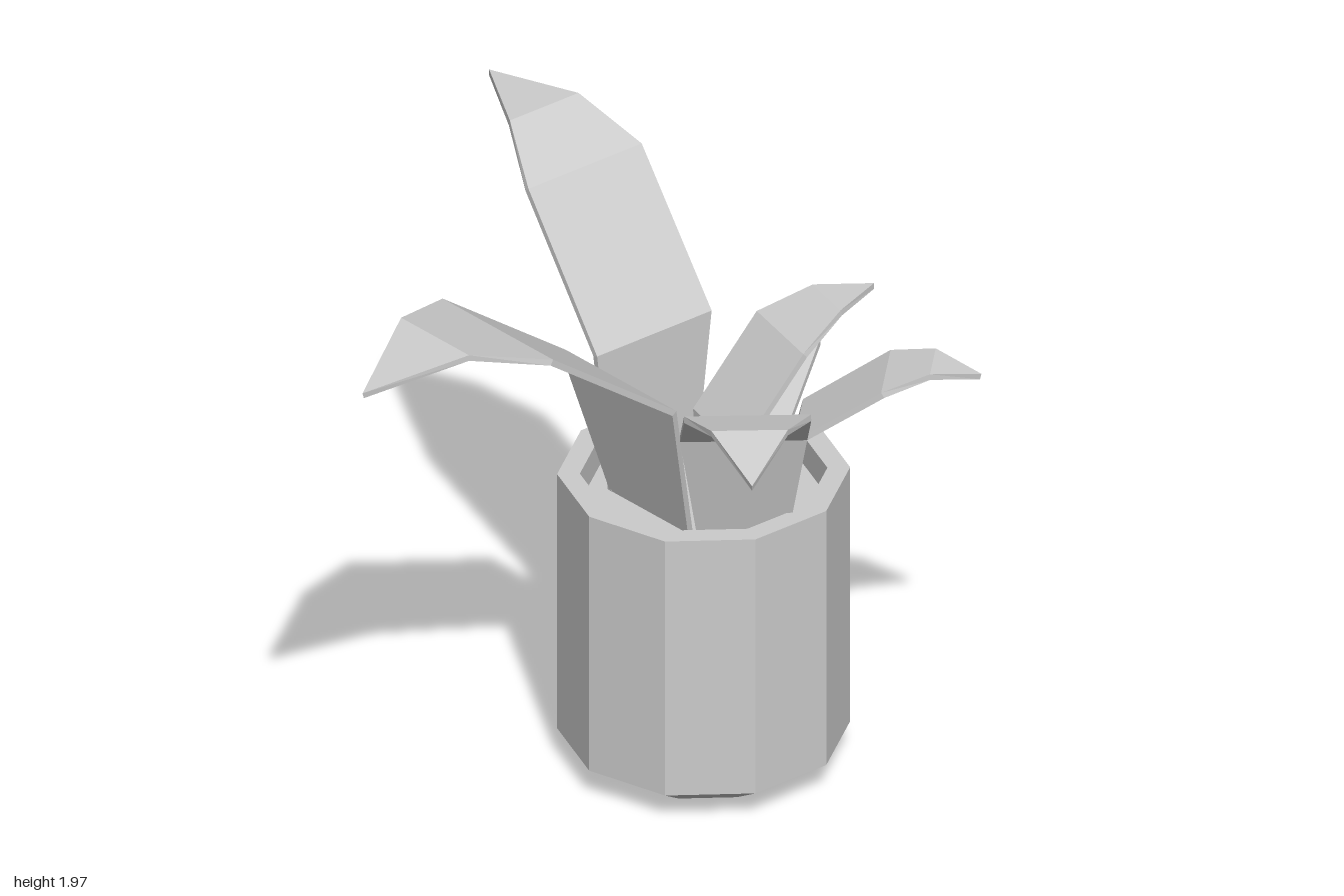
import * as THREE from 'three';

const material = new THREE.MeshStandardMaterial({ color: 0xcccccc, flatShading: true });
const THICKNESS = 0.02;

// Thin bent blade. Each station is [distance outward, height, width]; the last is the tip.
function leafGeometry(stations) {
  const positions = [];
  const index = [];
  const last = stations.length - 1;
  stations.forEach(([d, y, w], i) => {
    const before = stations[Math.max(i - 1, 0)];
    const after = stations[Math.min(i + 1, last)];
    const tangent = new THREE.Vector2(after[0] - before[0], after[1] - before[1]).normalize();
    // underside is offset square to the blade
    const lowD = d + tangent.y * THICKNESS;
    const lowY = y - tangent.x * THICKNESS;
    const h = w / 2;
    positions.push(h, y, d, -h, y, d, -h, lowY, lowD, h, lowY, lowD);
    if (i === last) return;
    for (let k = 0; k < 4; k++) {
      const a = i * 4 + k;
      const b = i * 4 + (k + 1) % 4;
      index.push(a, b, b + 4, a, b + 4, a + 4);
    }
  });
  index.push(0, 3, 2, 0, 2, 1); // base cap
  const geometry = new THREE.BufferGeometry();
  geometry.setAttribute('position', new THREE.Float32BufferAttribute(positions, 3));
  geometry.setIndex(index);
  const flat = geometry.toNonIndexed();
  flat.computeVertexNormals();
  return flat;
}

// Leaves: root position, outward direction (x, z) and blade stations
const leaves = [
  { name: 'rightLeaf', root: [-0.19, -0.355], dir: [-1, 0],
    stations: [[0, 0.88, 0.33], [0, 1.4, 0.45], [0.34, 1.84, 0.445], [0.54, 1.96, 0.27], [0.81, 1.97, 0]] },
  { name: 'frontLeaf', root: [-0.025, -0.225], dir: [0.06, 1],
    stations: [[0, 0.88, 0.35], [0.14, 1.41, 0.505], [0.65, 1.79, 0.505], [0.91, 1.865, 0.31], [1.21, 1.78, 0]] },
  { name: 'leftLeaf', root: [0.26, -0.34], dir: [0.8, 0.6],
    stations: [[0, 0.88, 0.27], [0.107, 1.31, 0.39], [0.495, 1.605, 0.39], [0.69, 1.665, 0.235], [0.92, 1.6, 0]] },
  { name: 'backLeftLeaf', root: [0.157, -0.547], dir: [1, -1],
    stations: [[0, 0.88, 0.19], [0.075, 1.185, 0.26], [0.345, 1.375, 0.265], [0.49, 1.42, 0.16], [0.64, 1.385, 0]] },
  { name: 'backLeaf', root: [0.107, -0.36], dir: [0.18, -0.985],
    stations: [[0, 0.86, 0.21], [0, 1.19, 0.3], [0.222, 1.475, 0.3], [0.385, 1.555, 0.18], [0.55, 1.56, 0]] },
  { name: 'backRightLeaf', root: [0.096, -0.5], dir: [-0.42, -0.9],
    stations: [[0, 0.88, 0.14], [0.06, 1.15, 0.205], [0.27, 1.33, 0.205], [0.37, 1.37, 0.125], [0.49, 1.36, 0]] },
];

export function createModel() {
  const model = new THREE.Group();
  model.name = 'pottedPlant';

  // Ten-sided pot with a chamfered foot and a hollow rim
  const pot = new THREE.Mesh(
    new THREE.LatheGeometry(
      [[0, 0], [0.29, 0], [0.45, 0.1], [0.45, 1], [0.38, 1], [0.38, 0.9]].map(([r, y]) => new THREE.Vector2(r, y)), 10),
    material);
  pot.name = 'pot';
  pot.position.set(0.02, 0, -0.38);
  model.add(pot);

  // Soil inside the rim
  const soil = new THREE.Mesh(
    new THREE.LatheGeometry([new THREE.Vector2(0.38, 0.9), new THREE.Vector2(0, 0.9)], 10), material);
  soil.name = 'soil';
  soil.position.copy(pot.position);
  model.add(soil);

  for (const { name, root, dir, stations } of leaves) {
    const leaf = new THREE.Mesh(leafGeometry(stations), material);
    leaf.name = name;
    leaf.position.set(root[0], 0, root[1]);
    leaf.rotation.y = Math.atan2(dir[0], dir[1]);
    model.add(leaf);
  }
  return model;
}
